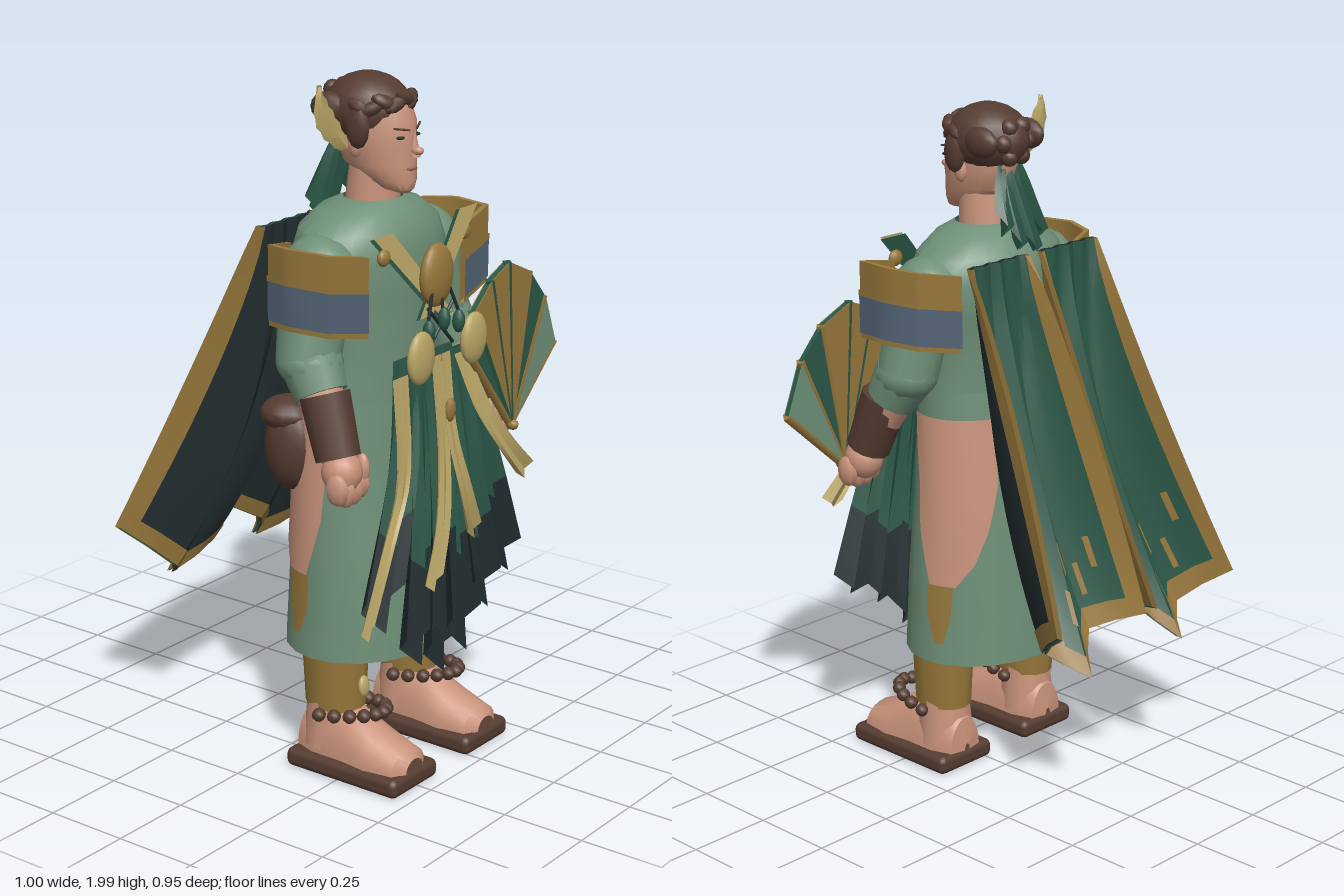
import * as THREE from 'three';
import { toCreasedNormals } from 'three/addons/utils/BufferGeometryUtils.js';
import { RoundedBoxGeometry } from 'three/addons/geometries/RoundedBoxGeometry.js';

const colours = {
  sage: 0x6f9078, green: 0x2b5747, dark: 0x222e30, gold: 0x98783c, cream: 0xbca768,
  blue: 0x546577, brown: 0x553c31, skin: 0xca947c, lip: 0xa86a5c,
};
const V = (x, y, z) => new THREE.Vector3(x, y, z);
const mix = THREE.MathUtils.lerp;

// Linear interpolation through a list of number rows
function at(list, t) {
  const f = Math.min(Math.max(t, 0), 1) * (list.length - 1);
  const i = Math.min(Math.floor(f), list.length - 2);
  return list[i].map((a, k) => mix(a, list[i + 1][k], f - i));
}

// Surface grid from a rule fn(u, v) -> [x, y, z]
function sheet(fn, nu, nv, u0 = 0, u1 = 1, v0 = 0, v1 = 1) {
  const pos = [], idx = [];
  for (let j = 0; j <= nv; j++) for (let i = 0; i <= nu; i++) pos.push(...fn(mix(u0, u1, i / nu), mix(v0, v1, j / nv)));
  for (let j = 0; j < nv; j++) for (let i = 0; i < nu; i++) {
    const a = j * (nu + 1) + i, b = a + nu + 1;
    idx.push(a, b, a + 1, b, b + 1, a + 1);
  }
  const g = new THREE.BufferGeometry();
  g.setAttribute('position', new THREE.Float32BufferAttribute(pos, 3));
  g.setIndex(idx);
  return toCreasedNormals(g, 0.6);
}

// Stacked ellipses, rows of [y, rx, rz, cz]; u turns from +x towards +z
const stack = (rows, grow = 1) => (u, v) => {
  const [y, rx, rz, cz] = at(rows, v), a = u * Math.PI * 2;
  return [Math.cos(a) * rx * grow, y, cz + Math.sin(a) * rz * grow];
};

// Hanging cloth strip with a fold that deepens downwards and a pointed end
const ribbon = (pts, w0, w1, fold = 0, point = 0) => {
  const c = new THREE.CatmullRomCurve3(pts.map(p => V(...p)));
  return (u, v) => {
    const p = c.getPoint(v), k = 1 - Math.abs(u - 0.5) * 2;
    return [p.x + (u - 0.5) * mix(w0, w1, v), p.y - (k - 0.5) * point * v, p.z + Math.cos(u * Math.PI * 4) * fold * v];
  };
};

export function createModel() {
  const mats = {};
  for (const [name, color] of Object.entries(colours)) {
    mats[name] = new THREE.MeshStandardMaterial({ color, side: THREE.DoubleSide });
    mats[name].name = name;
  }
  const root = new THREE.Group(), body = new THREE.Group();
  root.name = 'robedFigure';
  body.name = 'figure';
  body.position.x = -0.09;
  root.add(body);
  const add = (name, mat, geo) => {
    const m = new THREE.Mesh(geo, mats[mat]);
    m.name = name;
    body.add(m);
    return m;
  };
  const ball = (name, mat, p, r, w = 14, h = 10) => {
    const m = add(name, mat, new THREE.SphereGeometry(1, w, h));
    m.position.set(...p);
    m.scale.set(...r);
    return m;
  };
  const limb = (name, mat, a, b, ra, rb, n = 12) => {
    const p = V(...a), q = V(...b), d = q.clone().sub(p);
    const m = add(name, mat, new THREE.CylinderGeometry(rb, ra, d.length(), n));
    m.position.copy(p.add(q).multiplyScalar(0.5));
    m.quaternion.setFromUnitVectors(V(0, 1, 0), d.normalize());
    return m;
  };

  // Robe: torso and skirt
  add('torso', 'sage', sheet(stack([[1.1, .235, .163, .165], [1.25, .225, .162, .165], [1.4, .255, .172, .16], [1.5, .272, .178, .155],
    [1.57, .24, .165, .155], [1.62, .17, .125, .16], [1.645, .09, .08, .17]]), 20, 6));
  const skirtRows = [[.35, .27, .22, .16], [.6, .262, .205, .16], [.85, .25, .185, .155], [1.18, .232, .165, .16]];
  add('skirt', 'sage', sheet(stack(skirtRows), 20, 6));
  // Bare thigh and legging showing through the side slits
  for (const s of [1, -1]) {
    const skirt = stack(skirtRows, 1.025);
    const slit = (rows) => (u, v) => {
      const [t, lo, hi] = at(rows, v), p = skirt(mix(lo, hi, u) / 360 + 1, t);
      return [p[0] * s, p[1], p[2]];
    };
    add('thigh', 'skin', sheet(slit([[.92, -60, 26], [.72, -60, 12], [.55, -52, 8], [.42, -42, 0], [.33, -28, -6]]), 10, 8));
    add('leggingPatch', 'gold', sheet(slit([[.33, -26, -4], [.2, -24, -4], [.09, -18, -11]]), 4, 4));
  }

  for (const s of [1, -1]) {
    // Arms
    ball('shoulder', 'sage', [s * .232, 1.475, .165], [.1, .1, .112]);
    limb('sleeve', 'sage', [s * .25, 1.48, .165], [s * .305, 1.24, .18], .1, .09);
    ball('sleeveElbow', 'sage', [s * .305, 1.24, .185], [.09, .075, .095]);
    limb('sleeveCuff', 'sage', [s * .305, 1.24, .19], [s * .318, 1.16, .235], .088, .075);
    limb('forearm', 'skin', [s * .31, 1.22, .2], [s * .342, 1, .315], .07, .05);
    limb('bracer', 'brown', [s * .324, 1.165, .25], [s * .342, 1, .31], .072, .064);
    ball('palm', 'skin', [s * .345, .965, .325], [.057, .062, .057]);
    for (let i = 0; i < 4; i++) {
      ball('finger', 'skin', [s * (.3 + i * .031), .93 - (i % 3 ? .012 : 0), .345], [.02, .046, .038], 8, 6);
    }
    ball('thumb', 'skin', [s * .3, .97, .36], [.018, .045, .022], 8, 6);

    // Open shoulder guard, a thick curved band
    const plan = [[.22, .045], [.355, .085], [.387, .18], [.37, .3], [.225, .322]];
    const guard = (rows) => (u, v) => {
      const [x, z] = at(plan, u), [y, k] = at(rows, v);
      return [s * (.2 + (x - .2) * k), y + (x - .3) * .2, .18 + (z - .18) * k];
    };
    add('shoulderGuard', 'gold', sheet(guard([[1.325, 1], [1.55, 1.01], [1.55, .92], [1.325, .9], [1.325, 1]]), 8, 4));
    add('guardStripe', 'blue', sheet(guard([[1.34, 1.018], [1.455, 1.022]]), 8, 1));
    add('guardTrim', 'gold', sheet(guard([[1.45, 1.03], [1.465, 1.03]]), 8, 1));

    // Lower legs, feet and sandals
    const fx = s * .178;
    limb('legging', 'gold', [fx, .19, .175], [fx, .4, .175], .076, .086).scale.z = 1.2;
    ball('shinDisc', 'cream', [fx, .265, .276], [.022, .032, .012]).rotation.x = -.1;
    limb('ankle', 'skin', [fx, .07, .165], [fx, .22, .17], .085, .075);
    const footRows = [[.455, .04, .035], [.43, .08, .06], [.34, .092, .095], [.25, .082, .15], [.15, .082, .15], [.085, .06, .1], [.075, .01, .02]];
    add('foot', 'skin', sheet((u, v) => {
      const [z, w, h] = at(footRows, v), a = u * Math.PI;
      return [fx + Math.cos(a) * w, .055 + Math.sin(a) * h, z];
    }, 10, 6));
    const sole = add('sandalSole', 'brown', new RoundedBoxGeometry(.215, .056, .39, 2, .02));
    sole.position.set(fx, .028, .268);
    for (let i = 0; i < 11; i++) {
      const a = i / 10 * Math.PI, z = Math.sin(a);
      ball('ankletBead', 'brown', [fx + Math.cos(a) * .085, .18 + z * .025, .18 + z * .165], [.021, .02, .02], 8, 6);
    }

    // Pleated half cape, lined and gold edged
    const hem = [[-.48, .61, .92], [-.34, .55, 2.3], [-.43, .45, 1.4], [-.335, .52, 2.2], [-.475, .63, .95]];
    const cape = (off) => (u, v) => {
      const [z, y, pow] = at(hem, u);
      const inner = .025 - Math.sin(v * Math.PI) * .018, outer = .26 + .11 * Math.pow(v, 1.7);
      return [s * mix(inner, outer, u), mix(1.575, y, v),
        -.025 + (z + .025) * Math.pow(v, pow) - Math.cos(u * Math.PI * 8) * .005 + off];
    };
    add('capeBack', 'green', sheet(cape(0), 16, 12));
    add('capeLining', 'dark', sheet(cape(.012), 16, 12));
    for (const off of [-.005, .016]) {
      add('capeInnerEdge', 'gold', sheet(cape(off), 1, 12, 0, .06));
      add('capeOuterEdge', 'gold', sheet(cape(off), 1, 12, .95, 1));
      add('capeHem', 'gold', sheet(cape(off), 16, 1, 0, 1, .95, 1));
    }
    for (const u of [0, 1]) {
      add('capeSideBinding', 'gold', sheet((k, v) => cape(mix(-.005, .016, k))(u, v), 1, 12));
    }
    for (const [u, v] of [[.12, .78], [.2, .84], [.3, .76], [.38, .86], [.5, .8], [.6, .87], [.7, .78], [.8, .85], [.88, .74]]) {
      add('capeFrayMark', 'gold', sheet(cape(-.006), 1, 2, u, u + .025, v, v + .08));
    }

    // Hair locks and ear
    ball('ear', 'skin', [s * .09, 1.795, .175], [.014, .032, .022], 8, 6);
    ball('sideLock', 'brown', [s * .1, 1.85, .19], [.02, .06, .04], 8, 6);
    ball('sideRoll', 'brown', [s * .095, 1.89, .09], [.03, .045, .06], 10, 8);

    // Eye and brow
    ball('eye', 'dark', [s * .036, 1.822, .286], [.014, .005, .012], 8, 6);
    limb('brow', 'brown', [s * .016, 1.842, .303], [s * .06, 1.85, .282], .003, .003, 6);

    // Cream chest roundels and shoulder buttons
    ball('roundel', 'cream', [s * .125, 1.25, .425], [.058, .075, .022]);
    ball('strapButton', 'gold', [s * .188, 1.53, .345], [.024, .024, .015]);
  }

  // Head and neck
  limb('neck', 'skin', [0, 1.58, .165], [0, 1.74, .175], .08, .07);
  add('head', 'skin', sheet(stack([[1.665, .015, .015, .275], [1.675, .04, .045, .255], [1.7, .062, .08, .225], [1.74, .08, .11, .192],
    [1.8, .088, .12, .18], [1.86, .09, .125, .174], [1.92, .078, .108, .17], [1.96, .03, .04, .17]]), 18, 7));
  add('nose', 'skin', new THREE.ConeGeometry(.016, .075, 6)).position.set(0, 1.805, .31);
  ball('noseTip', 'skin', [0, 1.785, .318], [.015, .012, .02], 8, 6);
  ball('mouth', 'lip', [0, 1.735, .299], [.024, .007, .009], 8, 6);
  ball('hairCap', 'brown', [0, 1.885, .152], [.114, .1, .126], 18, 12);
  for (let i = 0; i < 9; i++) {
    const a = Math.PI * (.06 + .88 * i / 8);
    const lock = ball('fringeLock', 'brown', [Math.cos(a) * .096, 1.9 + Math.sin(a) * .025 - (i % 2) * .012, .17 + Math.sin(a) * .105], [.04, .02, .02], 7, 5);
    lock.rotation.set(0, Math.PI / 2 - a, i % 2 ? .5 : -.4);
  }
  ball('bun', 'brown', [0, 1.885, .06], [.06, .06, .045]);
  for (let i = 0; i < 6; i++) {
    const a = i / 6 * Math.PI * 2;
    ball('bunCoil', 'brown', [Math.cos(a) * .048, 1.885 + Math.sin(a) * .048, .047], [.027, .027, .025], 8, 6);
  }
  for (const [x, y, z] of [[-.07, 1.63, .015], [-.025, 1.59, -.005], [.03, 1.61, 0], [.065, 1.66, .02]]) {
    add('hairRibbon', 'green', sheet(ribbon([[x * .3, 1.84, .075], [x * .75, 1.74, .05], [x, y, z]], .035, .05, .02, .08), 4, 6));
  }

  // Feather tucked in the hair
  for (const side of [-1, 1]) add('feather', 'cream', sheet((u, v) => {
    const w = Math.sin(Math.PI * Math.min(v * .8 + .16, 1)) * .062 * (1 + (Math.round(v * 10) % 2) * .2);
    return [-.105 - Math.sin(v * 1.8) * .115 + (u - .5) * w, 1.79 + v * .185 + (u - .5) * w * .5, .152 + side * (.5 - Math.abs(u - .5)) * .018];
  }, 2, 10));

  // Chest straps, medallion and tassels
  for (const [a, b] of [[[-.19, 1.59, .345], [.055, 1.33, .38]], [[.2, 1.6, .35], [-.045, 1.34, .385]]]) {
    const m = a.map((k, i) => (k + b[i]) / 2);
    add('chestStrap', 'cream', sheet(ribbon([a, m, b], .085, .06), 2, 4));
    add('strapBacking', 'green', sheet(ribbon([a, m, b].map(p => [p[0], p[1] - .004, p[2] - .008]), .1, .075), 2, 4));
  }
  ball('medallion', 'gold', [0, 1.45, .385], [.07, .09, .03], 16, 10);
  for (const r of [-1, 1]) limb('medallionCord', 'dark', [r * .06, 1.37, .4], [-r * .06, 1.25, .4], .005, .005, 6);
  for (const x of [-.07, 0, .07]) {
    limb('tasselCord', 'dark', [x * .6, 1.41, .4], [x, 1.34, .41], .005, .005, 6);
    ball('tassel', 'green', [x, 1.33 - Math.abs(x) * .3, .412], [.019, .034, .018], 8, 6);
  }
  ball('sashClasp', 'gold', [.01, 1.07, .43], [.022, .035, .012], 8, 6);

  // Front sashes: green cloth with dark ends
  const sashes = [
    [[-.12, 1.24, .365], [-.18, .95, .4], [-.285, .56, .405], .1, .18, .12, .72],
    [[-.07, 1.24, .375], [-.1, .8, .415], [-.12, .4, .41], .1, .15, .1, .66],
    [[-.01, 1.24, .375], [-.015, .8, .415], [-.005, .34, .405], .1, .12, .1, .62],
    [[.04, 1.24, .375], [.05, .8, .42], [.085, .39, .42], .1, .14, .12, .66],
    [[.1, 1.22, .37], [.14, .8, .41], [.19, .48, .42], .1, .13, .1, .68],
    [[.15, 1.2, .365], [.24, .85, .395], [.315, .54, .405], .08, .13, .08, .64],
  ];
  for (const [a, b, c, w0, w1, point, split] of sashes) {
    const f = ribbon([a, b, c], w0, w1, .026, point);
    add('sash', 'green', sheet(f, 8, 8, 0, 1, 0, split));
    add('sashEnd', 'dark', sheet(f, 8, 4, 0, 1, split, 1));
  }
  const streamers = [
    [[-.17, 1.2, .39], [-.21, .92, .43], [-.3, .75, .445], [-.36, .52, .42], .07, .055],
    [[-.025, 1.23, .405], [-.035, .95, .44], [-.06, .75, .455], [-.095, .59, .45], .045, .085],
    [[.02, 1.23, .405], [.01, 1, .435], [.05, .82, .455], [.1, .69, .45], .04, .065],
    [[.13, 1.2, .38], [.18, 1.03, .42], [.26, .9, .445], [.35, .8, .45], .065, .09],
  ];
  for (const [a, b, c, d, w0, w1] of streamers) add('streamer', 'cream', sheet(ribbon([a, b, c, d], w0, w1, .008, .04), 4, 10));

  // Folding fan in the left hand: green core with coloured faces and gold staves
  const pivot = [.36, .93], tips = [[-.215, .265], [-.2, .38], [-.115, .455], [-.03, .49], [.08, .44], [.16, .35], [.218, .2]];
  const faces = ['green', 'gold', 'gold', 'gold', 'green', 'sage'];
  const staves = ['gold', 'green', 'green', 'green', 'gold', 'gold', 'gold'];
  tips.forEach((t, i) => {
    limb('fanStave', staves[i], [...pivot, .395], [pivot[0] + t[0], pivot[1] + t[1], .395], .014, .016, 4);
    if (!faces[i]) return;
    const blade = (name, mat, depth, z) => {
      const shape = new THREE.Shape([[0, 0], tips[i + 1], t].map(p => new THREE.Vector2(...p)));
      add(name, mat, new THREE.ExtrudeGeometry(shape, { depth, bevelEnabled: false })).position.set(...pivot, z);
    };
    blade('fanCore', 'green', .016, .387);
    if (faces[i] !== 'green') for (const z of [.403, .384]) blade('fanFace', faces[i], .003, z);
  });
  ball('fanPivot', 'gold', [...pivot, .405], [.016, .016, .02], 8, 6);

  // Pouches on the back of the right hip
  ball('largePouch', 'brown', [-.212, .95, .05], [.07, .13, .085]);
  ball('smallPouch', 'brown', [-.145, .95, -.002], [.06, .09, .045]);
  ball('pouchFlap', 'brown', [-.205, 1.04, .03], [.08, .05, .08]);
  return root;
}
